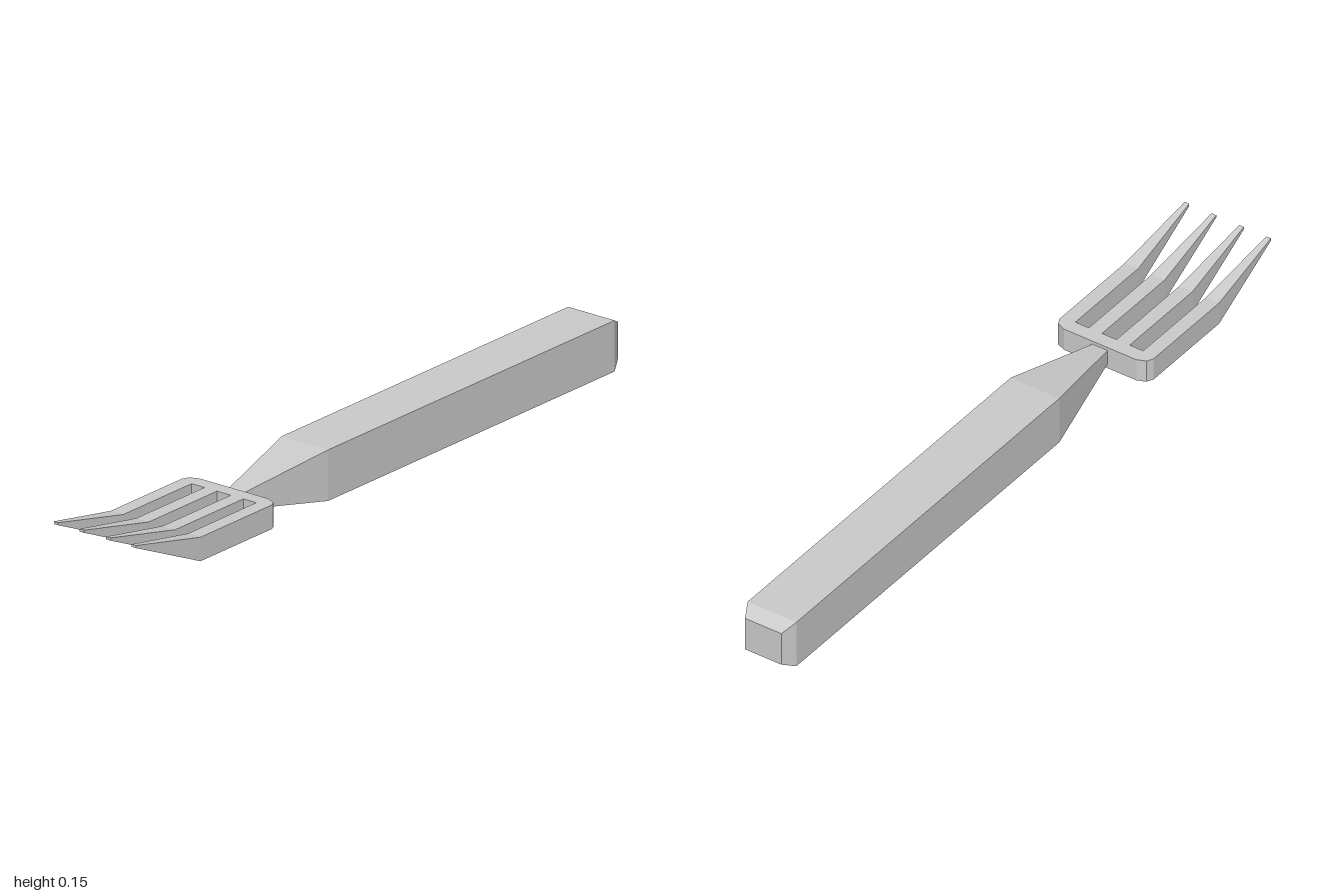
import * as THREE from 'three';

const material = new THREE.MeshStandardMaterial({ color: 0xcccccc, flatShading: true });

// Skins rectangular sections [z, centreX, halfWidth, bottomY, topY], given in order of rising z.
function loft(name, sections) {
  const points = [];
  const index = [];
  for (const [z, cx, w, y0, y1] of sections) {
    points.push(cx - w, y0, z, cx + w, y0, z, cx + w, y1, z, cx - w, y1, z);
  }
  const quad = (a, b, c, d) => index.push(a, b, c, a, c, d);
  for (let k = 0; k < sections.length - 1; k++) {
    for (let i = 0; i < 4; i++) {
      const j = (i + 1) % 4;
      quad(k * 4 + i, k * 4 + j, k * 4 + 4 + j, k * 4 + 4 + i);
    }
  }
  const e = points.length / 3 - 4;
  quad(3, 2, 1, 0);
  quad(e, e + 1, e + 2, e + 3);
  const indexed = new THREE.BufferGeometry();
  indexed.setAttribute('position', new THREE.Float32BufferAttribute(points, 3));
  indexed.setIndex(index);
  const geometry = indexed.toNonIndexed();
  geometry.computeVertexNormals();
  const mesh = new THREE.Mesh(geometry, material);
  mesh.name = name;
  return mesh;
}

export function createModel() {
  const model = new THREE.Group();
  model.name = 'fork';

  // Square handle with a chamfered butt, tapering to a thin neck
  model.add(loft('handle', [
    [-1, 0, 0.055, 0.02, 0.116],
    [-0.962, 0, 0.074, 0, 0.136],
    [0.17, 0, 0.074, 0, 0.136],
    [0.455, 0, 0.022, 0.05, 0.09],
  ]));

  // Crossbar with rounded rear corners, drawn from above and extruded upwards
  const corner = [[0.143, 0.49], [0.143, 0.477], [0.134, 0.46], [0.11, 0.45]];
  const outline = [
    ...corner.map(([x, z]) => new THREE.Vector2(x, -z)),
    ...corner.map(([x, z]) => new THREE.Vector2(-x, -z)).reverse(),
  ];
  const barGeometry = new THREE.ExtrudeGeometry(new THREE.Shape(outline), { depth: 0.064, bevelEnabled: false });
  barGeometry.rotateX(-Math.PI / 2).translate(0, 0.036, 0);
  const crossbar = new THREE.Mesh(barGeometry, material);
  crossbar.name = 'crossbar';
  model.add(crossbar);

  // Four tines: straight root, then an upswept taper to a small blunt tip
  for (const [root, tip] of [[-0.123, -0.124], [-0.042, -0.042], [0.042, 0.042], [0.123, 0.124]]) {
    model.add(loft('tine', [
      [0.49, root, 0.02, 0.036, 0.1],
      [0.76, root, 0.02, 0.036, 0.1],
      [1, tip, 0.007, 0.141, 0.148],
    ]));
  }
  return model;
}
